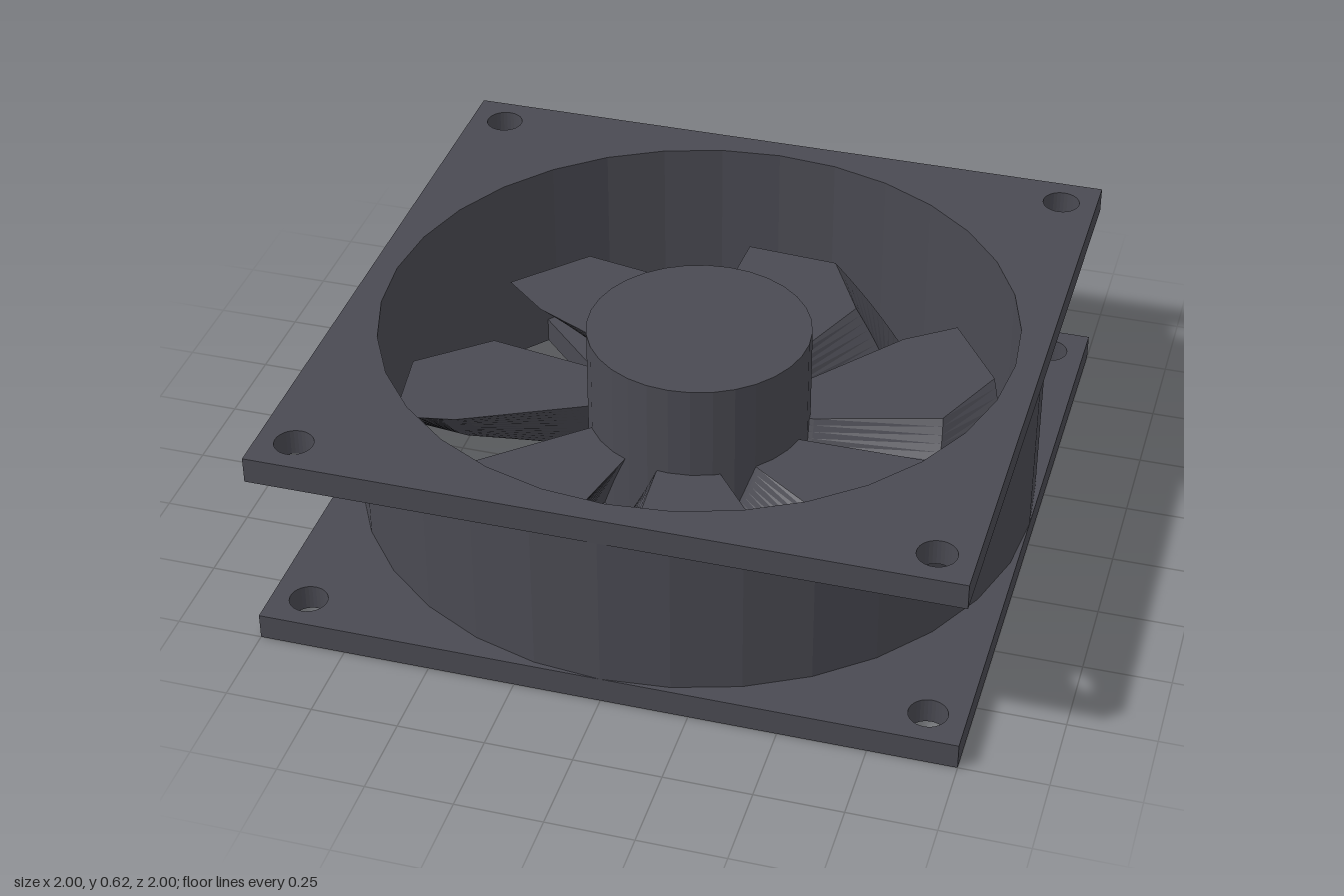
import * as THREE from 'three';

const HEIGHT = 0.625, PLATE = 0.077, BORE = 0.925;
const BLADES = 7, BLADE_BOTTOM = 0.08, BLADE_TOP = 0.295, TWIST = THREE.MathUtils.degToRad(17.3);

const circle = (x, y, r, Type = THREE.Path) => {
  const p = new Type();
  p.absarc(x, y, r, 0, Math.PI * 2, false);
  return p;
};

// Extrudes a plan outline (x, -z) upwards
const extrudeUp = (shape, depth, steps = 1) =>
  new THREE.ExtrudeGeometry(shape, { depth, steps, bevelEnabled: false, curveSegments: 16 });

// Square mounting plate with the bore and four screw holes
function plateGeometry() {
  const s = new THREE.Shape([[-1, -1], [1, -1], [1, 1], [-1, 1]].map(p => new THREE.Vector2(...p)));
  s.holes.push(circle(0, 0, BORE));
  for (const x of [-1, 1]) for (const y of [-1, 1]) s.holes.push(circle(x * 0.893, y * 0.893, 0.055));
  return extrudeUp(s, PLATE).rotateX(-Math.PI / 2);
}

// Flat blade outline, twisted around the hub axis as it rises
function bladeGeometry() {
  const outline = [[0.03, 0.22], [-0.005, 0.33], [-0.092, 0.712], [-0.085, 0.892],
    [0.2, 0.872], [0.322, 0.64], [0.178, 0.29], [0.13, 0.2]];
  const shape = new THREE.Shape(outline.map(p => new THREE.Vector2(...p)));
  const depth = BLADE_TOP - BLADE_BOTTOM;
  const geo = extrudeUp(shape, depth, 12);
  const pos = geo.attributes.position, v = new THREE.Vector3(), axis = new THREE.Vector3(0, 0, 1);
  for (let i = 0; i < pos.count; i++) {
    v.fromBufferAttribute(pos, i);
    v.applyAxisAngle(axis, -TWIST * (1 - v.z / depth));
    pos.setXYZ(i, v.x, v.y, v.z);
  }
  geo.rotateX(-Math.PI / 2);
  geo.computeVertexNormals();
  return geo;
}

export function createModel() {
  const model = new THREE.Group();
  model.name = 'coolingFan';
  const plastic = new THREE.MeshStandardMaterial({ color: 0x4a4a52, flatShading: true });
  plastic.name = 'dark grey plastic';

  const add = (name, geo, y = 0, parent = model) => {
    const mesh = new THREE.Mesh(geo, plastic);
    mesh.name = name;
    mesh.position.y = y;
    parent.add(mesh);
    return mesh;
  };

  // Housing: two plates joined by a round duct
  const plate = plateGeometry();
  add('bottomPlate', plate);
  add('topPlate', plate, HEIGHT - PLATE);
  const wall = circle(0, 0, 1, THREE.Shape);
  wall.holes.push(circle(0, 0, BORE));
  add('duct', extrudeUp(wall, HEIGHT - 2 * PLATE).rotateX(-Math.PI / 2), PLATE);

  // Diagonal support bars under the hub
  for (const side of [-1, 1]) {
    const bar = add('supportBar', new THREE.BoxGeometry(1.86, 0.08, 0.075), 0.04);
    bar.rotation.y = side * Math.PI / 4;
  }

  // Rotor: hub and twisted blades
  const rotor = new THREE.Group();
  rotor.name = 'rotor';
  model.add(rotor);
  add('hub', new THREE.CylinderGeometry(0.328, 0.328, 0.505, 32), 0.08 + 0.505 / 2, rotor);
  const blade = bladeGeometry();
  for (let i = 0; i < BLADES; i++) {
    add('blade', blade, BLADE_BOTTOM, rotor).rotation.y = -i * Math.PI * 2 / BLADES;
  }
  return model;
}
